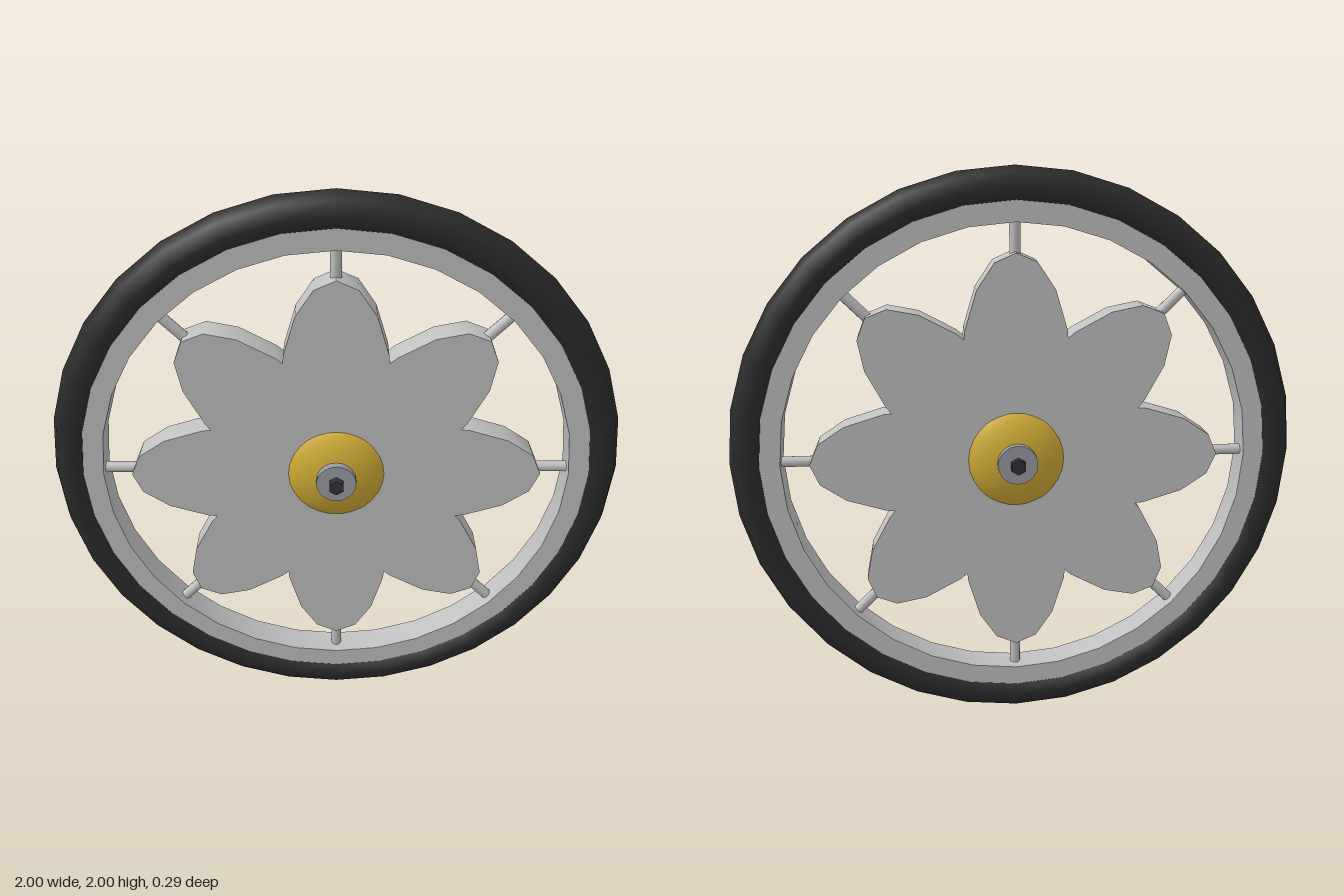
import * as THREE from 'three';
import { toCreasedNormals } from 'three/addons/utils/BufferGeometryUtils.js';

const material = (name, color) => {
  const m = new THREE.MeshStandardMaterial({ color });
  m.name = name;
  return m;
};

export function createModel() {
  const rubber = material('black rubber', 0x2b2b2b);
  const silver = material('silver', 0xc0c0c0);
  const gold = material('gold', 0xd4af37);
  const steel = material('steel', 0x9a9da6);
  const dark = material('dark metal', 0x333333);

  // The wheel is built around the origin, its axle along z, then lifted to stand on y = 0
  const wheel = new THREE.Group();
  wheel.name = 'wheel';
  wheel.position.y = 1;
  const add = (name, geometry, mat) => {
    const mesh = new THREE.Mesh(geometry, mat);
    mesh.name = name;
    wheel.add(mesh);
    return mesh;
  };

  // Tyre
  add('tyre', new THREE.TorusGeometry(0.93, 0.07, 8, 32), rubber);

  // Rim: a rectangular section turned around the axle
  const rimSection = [[0.92, -0.054], [0.92, 0.054], [0.82, 0.054], [0.82, -0.054], [0.92, -0.054]]
    .map(([r, z]) => new THREE.Vector2(r, z));
  const rim = new THREE.LatheGeometry(rimSection, 32).rotateX(Math.PI / 2);
  add('rim', toCreasedNormals(rim, 0.5), silver);

  // Flower plate: eight petals, each given as distance along and across its axis
  const half = [[0.46, 0.1755], [0.597, 0.134], [0.688, 0.073]];
  const petal = [
    [0.43, -0.178],
    ...half.map(([a, c]) => [a, -c]),
    [0.72, 0],
    ...[...half].reverse(),
  ];
  const outline = [];
  for (let i = 0; i < 8; i++) {
    const t = (i * Math.PI) / 4;
    for (const [a, c] of petal) outline.push(new THREE.Vector2(a, c).rotateAround(new THREE.Vector2(), t));
  }
  const depth = 0.106;
  const plate = new THREE.ExtrudeGeometry(new THREE.Shape(outline), { depth, bevelEnabled: false });
  plate.translate(0, 0, -depth / 2);
  add('flowerPlate', toCreasedNormals(plate, 0.6), silver);

  // Spokes joining petal tips to the rim
  for (let i = 0; i < 8; i++) {
    const spoke = new THREE.CylinderGeometry(0.019, 0.019, 0.2, 12).translate(0, 0.73, 0);
    add('spoke', spoke, silver).rotation.z = (i * Math.PI) / 4;
  }

  // Hub dome, axle collar and axle pin, all running through both sides
  add('hubDome', new THREE.SphereGeometry(0.2, 24, 16).scale(1, 1, 0.5), gold);
  add('axleCollar', new THREE.CylinderGeometry(0.07, 0.07, 0.24, 20).rotateX(Math.PI / 2), steel);
  add('axlePin', new THREE.CylinderGeometry(0.028, 0.028, 0.294, 6).rotateX(Math.PI / 2), dark);

  const model = new THREE.Group();
  model.name = 'flowerWheel';
  model.add(wheel);
  return model;
}
